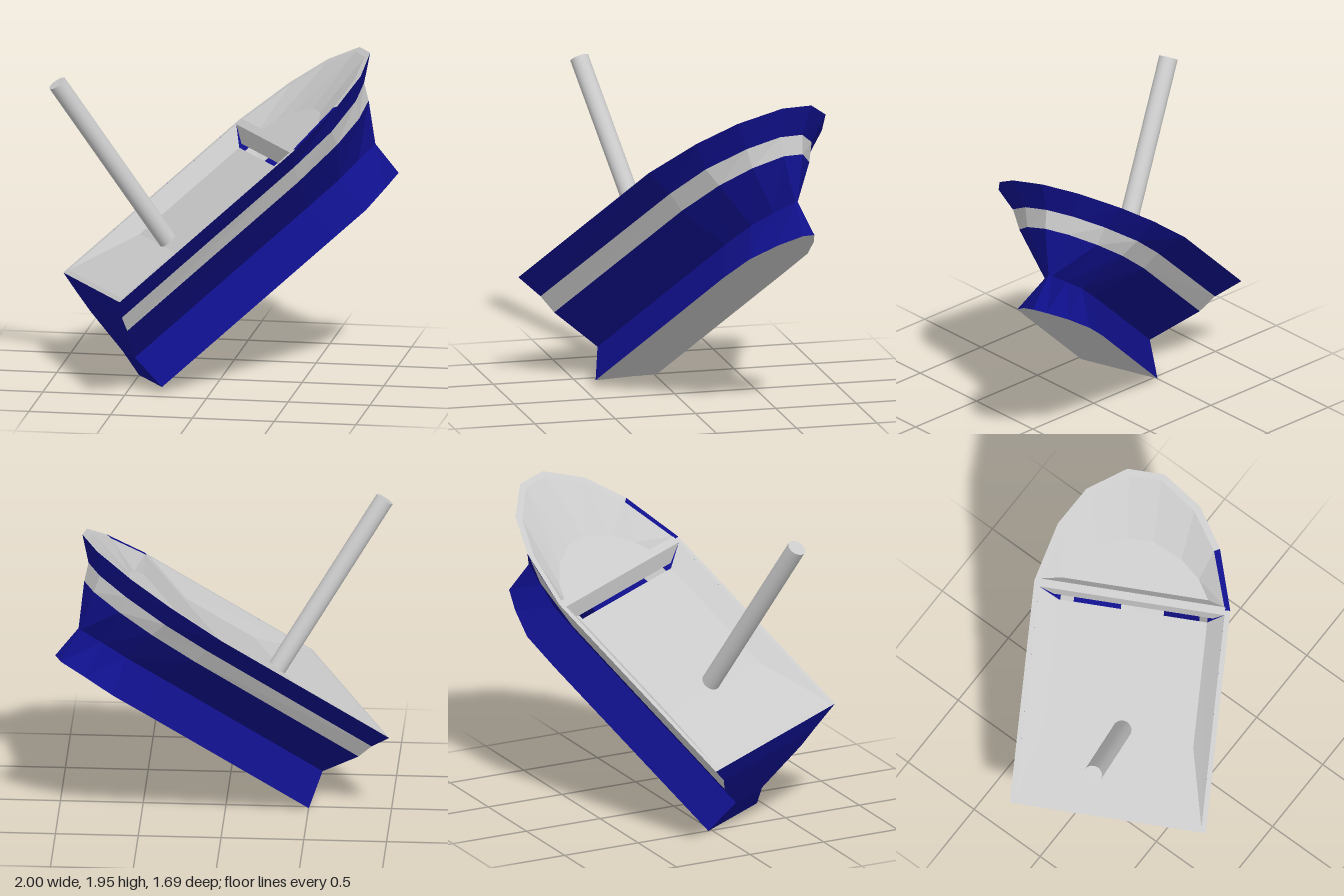
import * as THREE from 'three';

const grey = new THREE.MeshStandardMaterial({ color: 0xcccccc, flatShading: true, side: THREE.DoubleSide });
const blue = new THREE.MeshStandardMaterial({ color: 0x10108c, flatShading: true, side: THREE.DoubleSide });
const smoothGrey = new THREE.MeshStandardMaterial({ color: 0xcccccc });

// Mirrors half-breadth stations [half width, height, length] into a loop round the bow
const around = (stations) => [
  ...stations.map(([h, y, z]) => new THREE.Vector3(h, y, z)),
  ...stations.map(([h, y, z]) => new THREE.Vector3(-h, y, z)).reverse(),
];

// Flat-shaded mesh from a list of convex polygons
function polygons(name, material, faces) {
  const points = [];
  for (const face of faces) {
    for (let i = 1; i < face.length - 1; i++) points.push(face[0], face[i], face[i + 1]);
  }
  const geometry = new THREE.BufferGeometry().setFromPoints(points);
  geometry.computeVertexNormals();
  const mesh = new THREE.Mesh(geometry, material);
  mesh.name = name;
  return mesh;
}

// Quads joining two loops of equal length
const strip = (a, b) => a.slice(1).map((p, i) => [a[i], p, b[i + 1], b[i]]);

export function createModel() {
  const model = new THREE.Group();
  model.name = 'boat';
  const boat = new THREE.Group();
  boat.name = 'tiltedBoat';
  model.add(boat);

  // Hull waterlines from gunwale down to keel, each from stern to bow
  const lines = [
    [[0.604, 0, 0], [0.604, 0, 1.413], [0.5, 0, 1.79], [0.35, 0, 2.035], [0.115, 0, 2.2]],
    [[0.463, -0.126, -0.03], [0.452, -0.126, 1.36], [0.404, -0.126, 1.68], [0.258, -0.126, 1.93], [0.088, -0.126, 2.06]],
    [[0.392, -0.234, -0.046], [0.387, -0.234, 1.33], [0.334, -0.234, 1.665], [0.227, -0.234, 1.88], [0.075, -0.234, 2.015]],
    [[0.132, -0.473, -0.078], [0.132, -0.473, 1.31], [0.12, -0.475, 1.57], [0.065, -0.48, 1.74], [0.01, -0.488, 1.89]],
    [[0.247, -0.69, -0.077], [0.25, -0.69, 1.313], [0.235, -0.695, 1.565], [0.145, -0.7, 1.75], [0.045, -0.712, 1.885]],
  ].map(around);
  ['upperHull', 'hullStripe', 'lowerHull', 'keel'].forEach((name, i) => {
    boat.add(polygons(name, i === 1 ? grey : blue, strip(lines[i], lines[i + 1])));
  });

  // Transom closes the stern, bottom closes the keel
  const stern = lines.map((line) => [line[9], line[0]]);
  boat.add(polygons('transom', blue, strip(stern.map((s) => s[0]), stern.map((s) => s[1]))));
  boat.add(polygons('keelBottom', grey, [lines[4]]));

  // Gunwale rim, with one blue section at the bow
  const rim = around([[0.575, 0, 0.03], [0.572, 0, 1.41], [0.465, 0, 1.77], [0.32, 0, 2.0], [0.1, 0, 2.16]]);
  const rimFaces = strip(rim, lines[0]);
  rimFaces.push([rim[0], rim[9], lines[0][9], lines[0][0]]);
  boat.add(polygons('gunwale', grey, rimFaces.filter((f, i) => i !== 7)));
  boat.add(polygons('bowRimPanel', blue, [rimFaces[7]]));

  // Cockpit: stern ramp, sloping sides and shallow floor
  const D = -0.088;
  const cockpitTop = around([[0.575, 0, 0.03], [0.572, 0, 1.38]]);
  const cockpitFloor = around([[0.458, D, 0.49], [0.458, D, 1.29]]);
  boat.add(polygons('cockpitFloor', grey, [[...cockpitFloor].reverse()]));
  boat.add(polygons('cockpitSides', grey, [
    [cockpitFloor[0], cockpitFloor[1], cockpitTop[1], cockpitTop[0]],
    [cockpitFloor[2], cockpitFloor[3], cockpitTop[3], cockpitTop[2]],
  ]));
  boat.add(polygons('sternRamp', grey, [[cockpitTop[0], cockpitTop[3], cockpitFloor[3], cockpitFloor[0]]]));

  // Bulkhead: leaning face above a narrow gap, and a crossbar on top
  const face = around([[0.49, D, 1.32], [0.572, 0, 1.38]]);
  boat.add(polygons('bulkhead', grey, [[face[0], face[1], face[2], face[3]]]));
  const bar = around([[0.572, 0, 1.38], [0.572, 0, 1.43]]);
  boat.add(polygons('crossbar', grey, [[...bar].reverse()]));

  // Sunken foredeck
  const deckTop = around([[0.572, 0, 1.43], [0.465, 0, 1.77], [0.32, 0, 2.0], [0.1, 0, 2.16]]);
  const deckFloor = around([[0.45, D, 1.43], [0.38, D, 1.55], [0.26, D, 1.66], [0.08, D, 1.74]]);
  boat.add(polygons('foredeckSides', grey, strip(deckFloor, deckTop).filter((f, i) => i !== 6)));
  boat.add(polygons('foredeckSidePanel', grey, [strip(deckFloor, deckTop)[6]]));
  boat.add(polygons('foredeckFloor', grey, [[...deckFloor].reverse()]));
  boat.add(polygons('foredeckBackWall', grey, [[deckTop[0], deckTop[7], deckFloor[7], deckFloor[0]]]));

  // Mast, leaning slightly
  const foot = new THREE.Vector3(-0.015, -0.1, 0.538);
  const tip = new THREE.Vector3(-0.05, 1.13, 0.61);
  const axis = tip.clone().sub(foot);
  const mast = new THREE.Mesh(new THREE.CylinderGeometry(0.057, 0.057, axis.length(), 24), smoothGrey);
  mast.name = 'mast';
  mast.position.copy(foot).add(tip).multiplyScalar(0.5);
  mast.quaternion.setFromUnitVectors(new THREE.Vector3(0, 1, 0), axis.normalize());
  boat.add(mast);

  // Tilt the whole boat bow up and heeled over
  const length = new THREE.Vector3(0.693, 0.604, -0.394).normalize();
  const up = new THREE.Vector3(-0.574, 0.792, 0.209);
  up.addScaledVector(length, -up.dot(length)).normalize();
  const side = new THREE.Vector3().crossVectors(up, length);
  boat.quaternion.setFromRotationMatrix(new THREE.Matrix4().makeBasis(side, up, length));
  boat.position.set(-0.735, 0.62, 0.31);
  return model;
}
